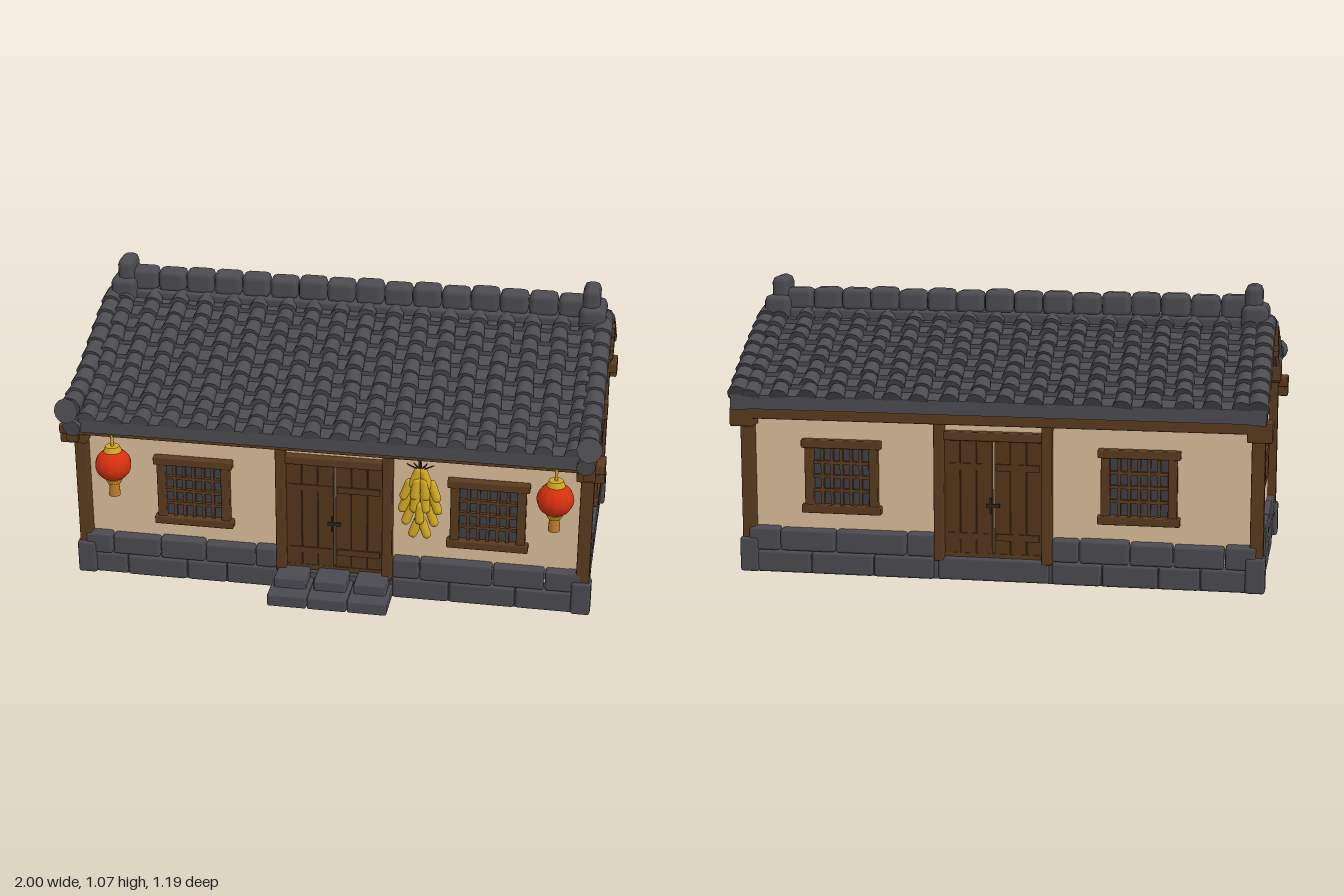
import * as THREE from 'three';
import { mergeGeometries } from 'three/addons/utils/BufferGeometryUtils.js';
import { RoundedBoxGeometry } from 'three/addons/geometries/RoundedBoxGeometry.js';

const mat = (name, color) => Object.assign(new THREE.MeshStandardMaterial({ color }), { name });
const V = (x, y, z) => new THREE.Vector3(x, y, z);
let seed = 7;
const rnd = (a) => ((seed = (seed * 16807) % 2147483647) / 2147483647 - 0.5) * 2 * a;

// Box given by its limits; r > 0 rounds the edges
function box(x0, x1, y0, y1, z0, z1, r = 0) {
  const s = [x1 - x0, y1 - y0, z1 - z0].map(Math.abs);
  const g = r ? new RoundedBoxGeometry(...s, 1, r) : new THREE.BoxGeometry(...s);
  return g.translate((x0 + x1) / 2, (y0 + y1) / 2, (z0 + z1) / 2);
}
// Cylinder from a to b
function rod(a, b, ra, rb = ra, sides = 10) {
  const d = b.clone().sub(a);
  const g = new THREE.CylinderGeometry(rb, ra, d.length(), sides);
  g.applyQuaternion(new THREE.Quaternion().setFromUnitVectors(V(0, 1, 0), d.normalize()));
  const m = a.clone().add(b).multiplyScalar(0.5);
  return g.translate(m.x, m.y, m.z);
}
// Extrude a (z, y) outline along x
function alongX(pts, x0, x1) {
  const g = new THREE.ExtrudeGeometry(new THREE.Shape(pts.map(([z, y]) => new THREE.Vector2(z, y))),
    { depth: x1 - x0, bevelEnabled: false });
  return g.rotateY(-Math.PI / 2).translate(x1, 0, 0);
}
const ribbon = (pts, t, x0, x1) =>
  alongX([...pts, ...pts.map(([z, y]) => [z, y - t]).reverse()], x0, x1);
const curve = (pts) => new THREE.CatmullRomCurve3(pts.map(([z, y]) => V(0, y, z)));

export function createModel() {
  const root = new THREE.Group();
  root.name = 'house';
  const M = {
    tile: mat('roofTile', 0x4c4c51), stone: mat('stone', 0x4a4a50), plaster: mat('plaster', 0xdabd99),
    wood: mat('timber', 0x5a3a1e), door: mat('doorWood', 0x53351b), pane: mat('pane', 0x3d3f49),
    red: mat('lanternRed', 0xd6300f), gold: mat('gold', 0xd2a822), tassel: mat('tassel', 0xc07a2c), dark: mat('darkMetal', 0x2a2422),
  };
  const part = (name, m, geos, parent = root) => {
    const mesh = new THREE.Mesh(mergeGeometries(geos.map((g) => (g.index ? g.toNonIndexed() : g))), m);
    mesh.name = name;
    parent.add(mesh);
    return mesh;
  };

  // Plastered walls with gables
  part('walls', M.plaster, [alongX([[0.42, 0.03], [0.42, 0.63], [0.2, 0.72], [-0.12, 0.89], [-0.45, 0.64], [-0.45, 0.03]], -0.93, 0.93)]);

  // Stone footing: two staggered rows of blocks on each side
  const stones = [box(-0.945, 0.945, 0, 0.07, -0.48, 0.445)];
  const run = (a, b, place) => {
    for (let row = 0; row < 2; row++) {
      const n = Math.max(2, Math.round((b - a) / 0.21)), w = (b - a) / n;
      const cuts = [a];
      for (let i = row ? 0.5 : 1; i < n; i++) cuts.push(a + i * w + rnd(0.025));
      cuts.push(b);
      for (let i = 0; i + 1 < cuts.length; i++)
        stones.push(place(cuts[i] + 0.002, cuts[i + 1] - 0.002, row * 0.083, row * 0.083 + 0.082 + (row ? rnd(0.005) : 0), rnd(0.004)));
    }
  };
  for (const [a, b] of [[-0.94, -0.2], [0.235, 0.94]]) {
    run(a, b, (p, q, y0, y1, j) => box(p, q, y0, y1, 0.38, 0.458 + j, 0.01));
    run(a, b, (p, q, y0, y1, j) => box(p, q, y0, y1, -0.495 + j, -0.42, 0.01));
  }
  for (const s of [1, -1]) {
    run(-0.485, 0.44, (p, q, y0, y1, j) => box(s * 0.88, s * (0.957 + j), y0, y1, p, q, 0.01));
    stones.push(box(s * 0.9, s * 0.972, 0, 0.13, 0.4, 0.468, 0.01), box(s * 0.9, s * 0.972, 0, 0.13, -0.5, -0.43, 0.01));
  }
  part('stoneFooting', M.stone, stones);

  // Doorsteps
  const steps = [box(-0.19, 0.22, 0, 0.085, -0.49, -0.42, 0.01)];
  for (let i = 0; i < 3; i++) {
    const x = -0.21 + i * 0.15;
    steps.push(box(x, x + 0.148, 0, 0.05, 0.42, 0.6, 0.008), box(x + 0.015, x + 0.135, 0.04, 0.09, 0.4, 0.54, 0.008));
  }
  part('doorSteps', M.stone, steps);

  // Timber frame: corner posts, door posts, eave beams and purlin ends
  const wood = [];
  for (const s of [1, -1]) {
    wood.push(box(s * 0.915, s * 0.963, 0.1, 0.64, 0.405, 0.455, 0.006), box(s * 0.915, s * 0.963, 0.1, 0.64, -0.488, -0.43, 0.006));
    wood.push(box(s * 0.9, s, 0.56, 0.605, 0.44, 0.5, 0.006), box(s * 0.9, s * 0.99, 0.555, 0.61, -0.53, -0.46, 0.006));
    for (const [z, y, h] of [[0.165, 0.7, 0.06], [-0.085, 0.82, 0.04], [-0.12, 0.85, 0.05], [-0.13, 0.88, 0.06]])
      wood.push(box(s * 0.9, s * 0.985, y - h / 2, y + h / 2, z - 0.025, z + 0.025));
  }
  wood.push(box(-1, 1, 0.6, 0.637, 0.42, 0.51, 0.006), box(-0.99, 0.99, 0.585, 0.625, -0.53, -0.43, 0.006));
  // Exposed timbers in the gable without a window
  wood.push(box(-0.945, -0.92, 0.39, 0.42, -0.45, 0.17), box(-0.945, -0.92, 0.42, 0.62, -0.17, -0.14),
    box(-0.945, -0.92, 0.3, 0.4, -0.08, -0.055), box(-0.945, -0.92, 0.3, 0.47, 0.13, 0.16),
    box(-0.945, -0.92, 0.3, 0.325, -0.08, 0.15));
  // Barge boards
  const barge = [[0.52, 0.635], [0.36, 0.695], [0.18, 0.765], [0.02, 0.845], [-0.12, 0.92], [-0.32, 0.785], [-0.53, 0.635]];
  for (const [a, b] of [[0.925, 0.968], [-0.968, -0.925]]) wood.push(ribbon(barge, 0.058, a, b));
  part('timberFrame', M.wood, wood);

  // Lattice window facing +z around its own origin
  function makeWindow(x, y, z, turn) {
    const g = new THREE.Group();
    g.name = 'window';
    const w = 0.15, h = 0.138;
    part('windowPane', M.pane, [box(-0.12, 0.12, -0.12, 0.12, 0, 0.008)], g);
    const f = [box(-w, w, h - 0.032, h, 0, 0.034, 0.005), box(-w, w, -h, -h + 0.032, 0, 0.036, 0.005)];
    for (const s of [1, -1]) f.push(box(s * 0.105, s * 0.138, -0.12, 0.12, 0, 0.03, 0.005));
    for (let i = -2; i <= 2; i++) f.push(box(i * 0.036 - 0.006, i * 0.036 + 0.006, -0.11, 0.11, 0.004, 0.02));
    for (let i = -1; i <= 1; i++) f.push(box(-0.11, 0.11, i * 0.052 - 0.006, i * 0.052 + 0.006, 0.004, 0.022));
    part('windowFrame', M.wood, f, g);
    g.position.set(x, y, z);
    g.rotation.y = turn;
    root.add(g);
  }
  makeWindow(0.93, 0.38, -0.085, Math.PI / 2);

  // Double door with its frame, facing +z
  function makeDoor(z, turn, x) {
    const g = new THREE.Group();
    g.name = 'doorway';
    const f = [box(-0.19, 0.19, 0.52, 0.553, 0, 0.035, 0.005), box(-0.19, 0.19, 0.08, 0.1, 0, 0.02)];
    const leaves = [];
    for (const s of [1, -1]) {
      f.push(box(s * 0.18, s * 0.218, 0.07, 0.61, 0, 0.042, 0.006));
      for (let i = 0; i < 3; i++) leaves.push(box(s * (0.003 + i * 0.06), s * (0.062 + i * 0.06), 0.09, 0.525, 0, 0.017 + rnd(0.002), 0.003));
      leaves.push(box(s * 0.01, s * 0.17, 0.41, 0.435, 0, 0.022), box(s * 0.01, s * 0.17, 0.15, 0.175, 0, 0.022));
    }
    part('doorFrame', M.wood, f, g);
    part('doorLeaves', M.door, leaves, g);
    part('doorLatch', M.dark, [box(-0.025, 0.025, 0.275, 0.287, 0.018, 0.026), box(-0.012, -0.006, 0.25, 0.31, 0.018, 0.026)], g);
    g.position.set(x, 0, z);
    g.rotation.y = turn;
    root.add(g);
  }
  for (const [z, turn] of [[0.42, 0], [-0.45, Math.PI]]) {
    makeWindow(-0.515, 0.367, z, turn);
    makeWindow(0.585, 0.367, z, turn);
    makeDoor(z, turn, 0.017);
  }

  // Roof: slab, stepped pan tiles and rounded cover tiles on both slopes
  const front = [[-0.11, 0.925], [0.08, 0.85], [0.27, 0.765], [0.42, 0.705], [0.545, 0.665]];
  const back = [[-0.15, 0.925], [-0.35, 0.81], [-0.575, 0.665]];
  const vergeFront = [[-0.1, 0.925], [0.08, 0.86], [0.25, 0.79], [0.4, 0.742], [0.55, 0.722]];
  const vergeBack = [[-0.15, 0.93], [-0.35, 0.822], [-0.575, 0.675]];
  part('roofSlab', M.tile, [ribbon([...front].reverse().concat(back), 0.035, -0.955, 0.955)]);
  const covers = [], pans = [], verge = [];
  for (const [pts, rows] of [[front, 10], [back, 8]]) {
    const c = curve(pts);
    for (let r = 0; r < rows; r++) {
      const a = c.getPointAt(r / rows), b = c.getPointAt((r + 1) / rows);
      pans.push(ribbon([[b.z, b.y + 0.016], [a.z, a.y]].sort((p, q) => q[0] - p[0]), 0.02, -0.94, 0.94));
      for (let i = 0; i < 18; i++) {
        const x = -0.885 + i * 0.1045 + rnd(0.004), lift = rnd(0.004);
        covers.push(rod(V(x, a.y + 0.004, a.z), V(x + rnd(0.003), b.y + 0.012 + lift, b.z), 0.029, 0.036));
      }
    }
  }
  part('panTiles', M.tile, pans);
  part('coverTiles', M.tile, covers);

  // Verge rolls ending in upturned tips
  for (const s of [1, -1]) {
    for (const [pts, rows] of [[vergeFront, 9], [vergeBack, 8]]) {
      const c = curve(pts);
      for (let r = 0; r < rows; r++) {
        const a = c.getPointAt(r / rows), b = c.getPointAt((r + 1) / rows);
        a.x = b.x = s * 0.94;
        b.y += 0.006;
        verge.push(rod(a, b, 0.035, 0.04));
        // Flat tiles under the roll, over the barge board
        verge.push(ribbon([[a.z, a.y], [b.z, b.y]].sort((p, q) => q[0] - p[0]), 0.055, s * 0.94 - 0.03, s * 0.94 + 0.03));
      }
    }
    verge.push(rod(V(s * 0.94, 0.715, 0.53), V(s * 0.945, 0.728, 0.58), 0.036, 0.046, 12));
    verge.push(rod(V(s * 0.93, 0.66, 0.5), V(s * 0.935, 0.65, 0.56), 0.03, 0.034));
  }
  part('vergeTiles', M.tile, verge);

  // Ridge of blocks with raised ends
  const ridge = [box(-0.92, 0.92, 0.88, 0.95, -0.185, -0.075, 0.01)];
  for (let i = 0; i < 16; i++) {
    const x = -0.88 + i * 0.11;
    ridge.push(box(x, x + 0.108, 0.94, 1.028 + rnd(0.004), -0.172, -0.09, 0.022));
  }
  for (const s of [1, -1])
    ridge.push(box(s * 0.85, s * 0.95, 0.9, 1.0, -0.21, -0.05, 0.025), box(s * 0.86, s * 0.925, 0.96, 1.07, -0.188, -0.07, 0.025));
  part('ridge', M.tile, ridge);

  // Lanterns under the front eave
  for (const x of [-0.8, 0.83]) {
    const g = new THREE.Group();
    g.name = 'lantern';
    const ball = new THREE.SphereGeometry(0.066, 48, 20), p = ball.attributes.position;
    for (let i = 0; i < p.count; i++) {
      const k = 1 + 0.018 * Math.cos(12 * Math.atan2(p.getZ(i), p.getX(i)));
      p.setXYZ(i, p.getX(i) * k, p.getY(i) * 0.94, p.getZ(i) * k);
    }
    ball.computeVertexNormals();
    part('lanternBody', M.red, [ball], g);
    part('lanternCaps', M.gold, [rod(V(0, 0.055, 0), V(0, 0.075, 0), 0.034, 0.026, 16), rod(V(0, -0.075, 0), V(0, -0.055, 0), 0.024, 0.034, 16), rod(V(0, 0.07, 0), V(0, 0.12, 0), 0.006)], g);
    part('lanternTassel', M.tassel, [rod(V(0, -0.125, 0), V(0, -0.07, 0), 0.022, 0.018, 12)], g);
    g.position.set(x, 0.49, 0.505);
    root.add(g);
  }

  // Hanging bunch of corn cobs
  const cobs = [];
  [[0.52, 2, 0.018], [0.47, 4, 0.05], [0.42, 4, 0.055], [0.37, 3, 0.042], [0.32, 2, 0.016]].forEach(([y, n, w]) => {
    for (let i = 0; i < n; i++) {
      const t = (i / (n - 1)) * 2 - 1;
      const g = new THREE.CapsuleGeometry(0.017, 0.055, 4, 10);
      g.rotateZ(t * 0.35).rotateX(-0.1).translate(0.34 + t * w, y - 0.005 + (1 - Math.abs(t)) * 0.015, 0.47 + (1 - Math.abs(t)) * 0.015);
      cobs.push(g);
    }
  });
  part('cornBunch', M.gold, cobs);
  const twigs = [rod(V(0.34, 0.53, 0.47), V(0.335, 0.61, 0.47), 0.006)];
  for (let i = -2; i <= 2; i++) twigs.push(rod(V(0.34, 0.545, 0.47), V(0.34 + i * 0.025, 0.585 - Math.abs(i) * 0.006, 0.48), 0.003, 0.002, 6));
  part('cornTwigs', M.dark, twigs);
  return root;
}
